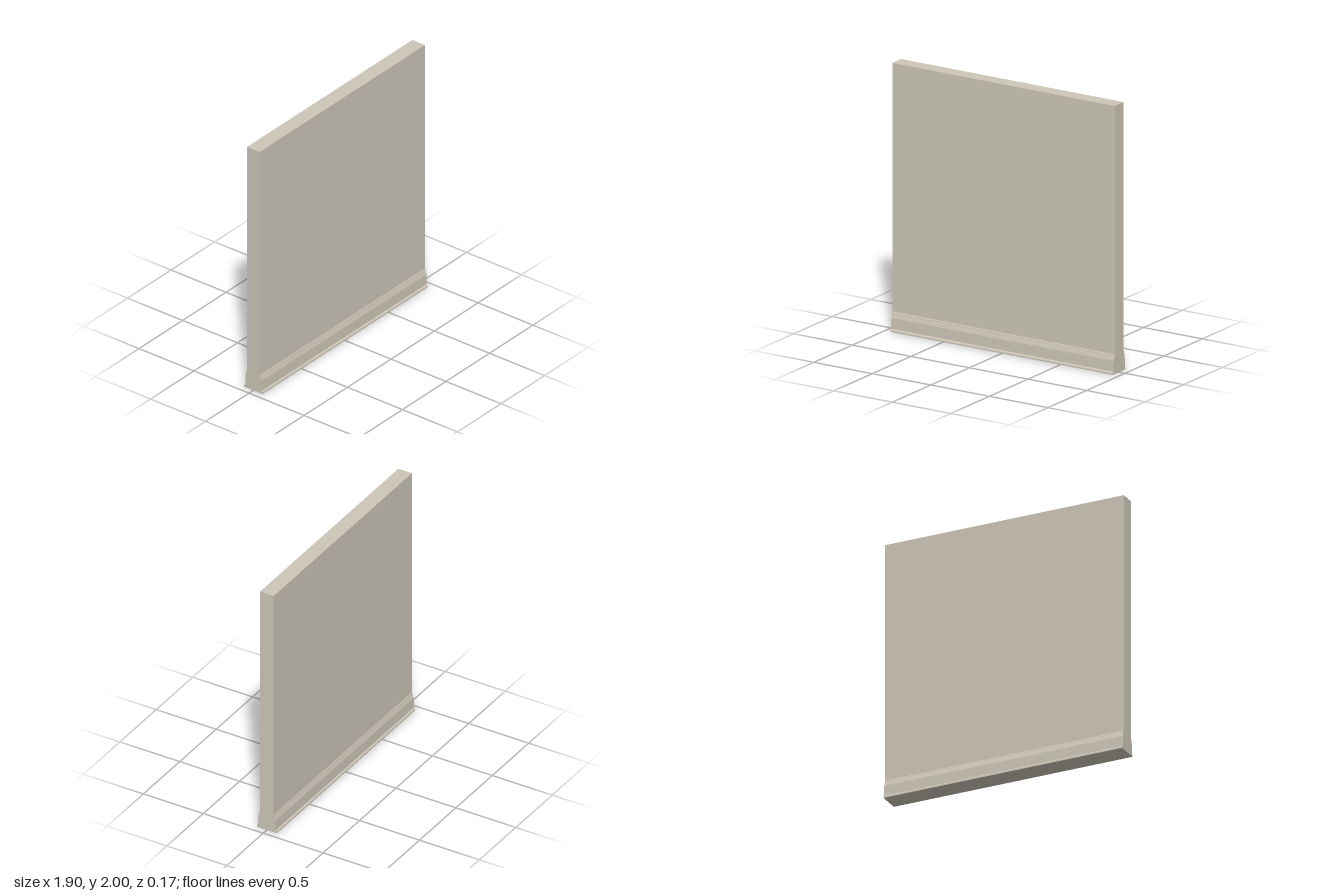
import * as THREE from 'three';

export function createModel() {
  const group = new THREE.Group();
  group.name = 'wallPanel';

  const plaster = new THREE.MeshStandardMaterial({ color: 0xcdc7b8 });
  plaster.name = 'warm grey plaster';

  // Half cross-section: [half depth, height], from the foot moulding up to the wall top
  const half = [
    [0.084, 0], [0.084, 0.01], [0.08, 0.018], [0.073, 0.021],
    [0.071, 0.1], [0.067, 0.115], [0.063, 0.128], [0.06, 0.142],
    [0.057, 0.147], [0.057, 2],
  ];
  const mirrored = half.map(([d, y]) => [-d, y]).reverse();
  const profile = new THREE.Shape([...half, ...mirrored].map(([d, y]) => new THREE.Vector2(d, y)));

  // Wall with moulded skirting on both faces, swept along x
  const width = 1.9;
  const geometry = new THREE.ExtrudeGeometry(profile, { depth: width, bevelEnabled: false });
  geometry.translate(0, 0, -width / 2);
  geometry.rotateY(Math.PI / 2);

  const wall = new THREE.Mesh(geometry, plaster);
  wall.name = 'wallWithSkirting';
  group.add(wall);
  return group;
}
